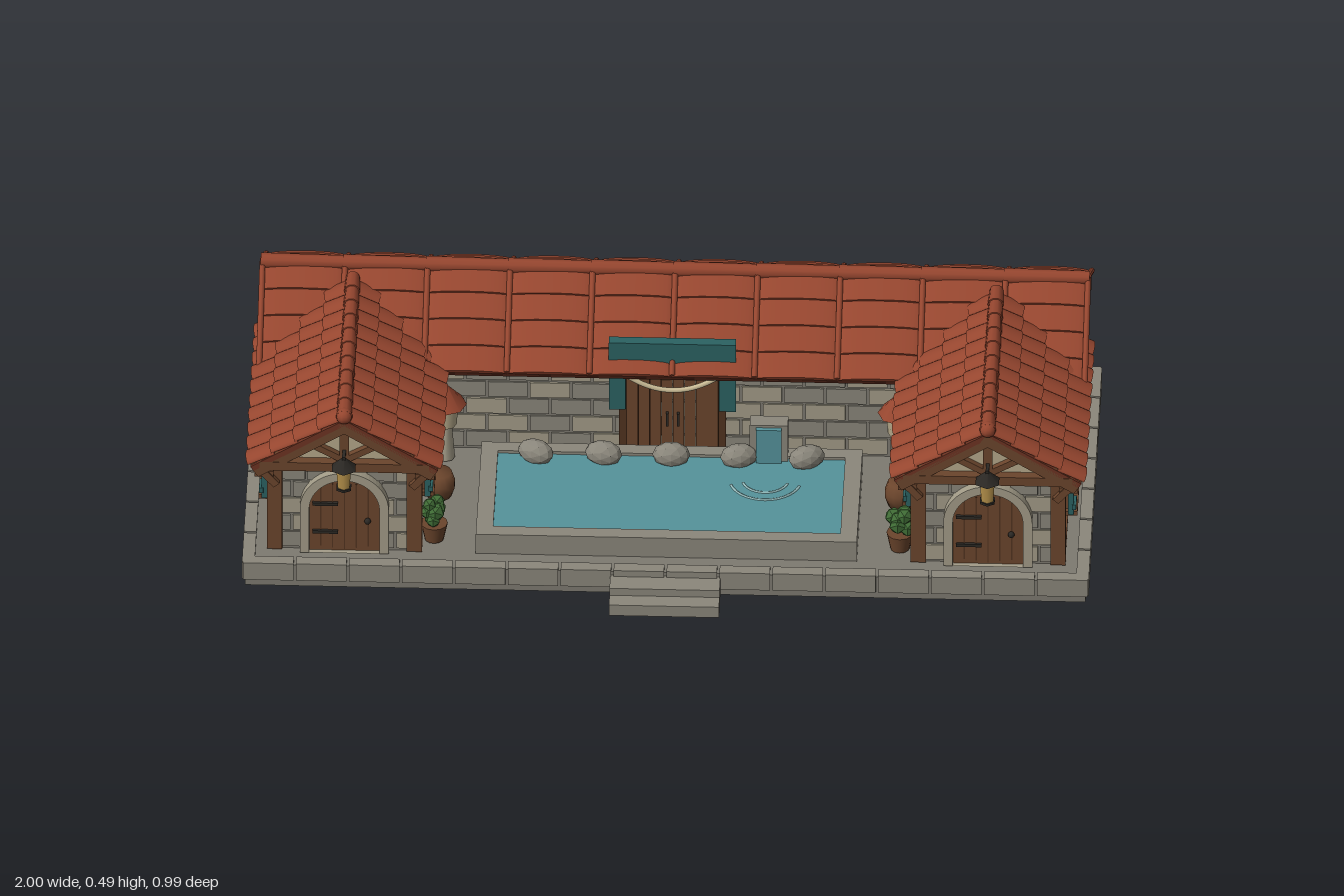
import * as THREE from 'three';

const mat = (color, flat = false) => new THREE.MeshStandardMaterial({ color, flatShading: flat });
const M = {
  stone: mat(0x7d7a70), block: mat(0x8b877b), pale: mat(0xa39c88), plaster: mat(0xb5a98a),
  wood: mat(0x6b452c), dark: mat(0x51331f), iron: mat(0x2b2824), teal: mat(0x2b6262),
  glass: mat(0xb9944c), water: mat(0x55939b), foam: mat(0x9cc4c4), tile: mat(0x96462f),
  under: mat(0x6e3322), rope: mat(0xcbbd97), leaf: mat(0x3f6b35, true), rock: mat(0x8a867b, true),
};
let seed = 7;
const rnd = () => (seed = (seed * 16807) % 2147483647) / 2147483647;

function add(parent, name, geo, m, x = 0, y = 0, z = 0) {
  const mesh = new THREE.Mesh(geo, m);
  mesh.name = name;
  mesh.position.set(x, y, z);
  parent.add(mesh);
  return mesh;
}
const box = (p, name, m, w, h, d, x, y, z) => add(p, name, new THREE.BoxGeometry(w, h, d), m, x, y, z);
const cyl = (p, name, m, r1, r2, h, x, y, z, n = 12) => add(p, name, new THREE.CylinderGeometry(r1, r2, h, n), m, x, y, z);

function group(parent, name, x = 0, y = 0, z = 0, ry = 0) {
  const g = new THREE.Group();
  g.name = name;
  g.position.set(x, y, z);
  g.rotation.y = ry;
  parent.add(g);
  return g;
}
// Square timber lying in the local xy plane between two points
function beam(p, name, x1, y1, x2, y2, z, t = 0.022, d = 0.022) {
  const b = box(p, name, M.wood, Math.hypot(x2 - x1, y2 - y1), t, d, (x1 + x2) / 2, (y1 + y2) / 2, z);
  b.rotation.z = Math.atan2(y2 - y1, x2 - x1);
}
// Running-bond stone facing, looking along local +z
function stones(p, w, h, rows = 5, len = 0.1) {
  const rh = h / rows;
  for (let r = 0; r < rows; r++) {
    for (let x = -w / 2 - (r % 2) * len / 2; x < w / 2 - 0.005; x += len) {
      const a = Math.max(x, -w / 2), b = Math.min(x + len, w / 2);
      box(p, 'wallStone', rnd() > 0.6 ? M.pale : M.block, b - a - 0.006, rh - 0.006, 0.006 + rnd() * 0.004,
        (a + b) / 2, (r + 0.5) * rh, 0);
    }
  }
}
// Lit window with bars, sill and plank shutters; sl and sr are the shutter widths
function windowUnit(p, x, y, z, ry, w, h, sl, sr) {
  const g = group(p, 'window', x, y, z, ry);
  box(g, 'pane', M.glass, w, h, 0.016, 0, 0, 0.006);
  for (const s of [-1, 1]) {
    box(g, 'frameSide', M.wood, 0.008, h, 0.024, s * w / 2, 0, 0.008);
    box(g, 'frameRail', M.wood, w, 0.008, 0.024, 0, s * h / 2, 0.008);
    box(g, 'bar', M.wood, 0.005, h, 0.02, s * w / 6, 0, 0.008);
    const sw = s < 0 ? sl : sr, cx = s * (w / 2 + sw / 2 + 0.004);
    if (!sw) continue;
    for (let i = 0; i < 3; i++)
      box(g, 'shutterPlank', M.teal, sw / 3 - 0.002, h - 0.005 + (i % 2) * 0.01, 0.014, cx + (i - 1) * sw / 3, 0.004, 0.02);
    for (const k of [-1, 1]) box(g, 'shutterBatten', M.teal, sw + 0.004, 0.014, 0.01, cx, k * h * 0.32, 0.028);
  }
  box(g, 'crossBar', M.wood, w, 0.005, 0.02, 0, 0.005, 0.008);
  box(g, 'sill', M.wood, w + 0.03, 0.012, 0.04, 0, -h / 2 - 0.006, 0.015);
}
// Gabled tiled roof, ridge along local x at the origin
function roof(p, name, x, y, z, ry, L, run, rise, cols, courses, bulge, ribs) {
  const g = group(p, name, x, y, z, ry);
  const len = Math.hypot(run, rise), a = Math.atan2(rise, run), cw = L / cols, cl = len / courses;
  const tile = new THREE.CylinderGeometry(1, 1, 1, 10, 1, false, Math.PI / 2, Math.PI).rotateX(Math.PI / 2);
  for (const side of [0, Math.PI]) {
    const pitch = group(group(g, 'roofSide', 0, 0, 0, side), 'slope');
    pitch.rotation.x = a;
    box(pitch, 'roofBoard', M.under, L, 0.014, len, 0, -0.008, len / 2);
    for (let c = 0; c < cols; c++) for (let r = 0; r < courses; r++) {
      const t = add(pitch, 'roofTile', tile, M.tile, -L / 2 + (c + 0.5) * cw, 0.003, (r + 0.5) * cl);
      t.scale.set(cw / 2, bulge, cl * 1.08);
      t.rotation.x = -0.1;
    }
    for (let c = 0; ribs && c <= cols; c++)
      cyl(pitch, 'roofRib', M.tile, 0.007, 0.007, len, -L / 2 + c * cw, 0.01, len / 2, 8).rotation.x = Math.PI / 2;
    box(pitch, 'eaveBoard', M.wood, L, 0.022, 0.012, 0, -0.016, len - 0.012);
    for (const e of [-1, 1]) box(pitch, 'bargeBoard', M.wood, 0.016, 0.026, len, e * (L / 2 - 0.008), -0.022, len / 2);
  }
  for (let c = 0; c < cols; c++) {
    const t = cyl(g, 'ridgeTile', M.tile, 0.019, 0.016, cw * 1.04, -L / 2 + (c + 0.5) * cw, 0.008, 0, 10);
    t.rotation.z = Math.PI / 2;
  }
}
// Plastered gable with an exposed truss, facing local +z; the origin is the middle of the tie beam
function gable(p, x, y, z, ry, half, rise) {
  const g = group(p, 'gable', x, y, z, ry);
  const s = new THREE.Shape([[-half, 0], [half, 0], [0, rise]].map(q => new THREE.Vector2(...q)));
  add(g, 'gablePanel', new THREE.ExtrudeGeometry(s, { depth: 0.02, bevelEnabled: false }), M.plaster, 0, 0, -0.02);
  beam(g, 'tieBeam', -half - 0.01, 0, half + 0.01, 0, 0.008, 0.024, 0.03);
  beam(g, 'kingPost', 0, 0, 0, rise, 0.006);
  for (const k of [-1, 1]) {
    beam(g, 'rafter', k * half, 0.005, 0, rise, 0.008);
    beam(g, 'strut', 0, 0.015, k * half * 0.45, rise * 0.53, 0.005, 0.016);
    beam(g, 'eaveBrace', k * (half - 0.03), -0.06, k * (half + 0.03), 0.01, 0.005, 0.018);
  }
}
const arch = (r, h) => {
  const s = new THREE.Shape();
  s.moveTo(-r, 0); s.lineTo(r, 0); s.lineTo(r, h);
  s.absarc(0, h, r, 0, Math.PI, false);
  s.lineTo(-r, 0);
  return s;
};
function archDoor(p, x, z) {
  const g = group(p, 'archedDoor', x, 0.065, z);
  const ring = arch(0.105, 0.125);
  ring.holes.push(arch(0.083, 0.125));
  add(g, 'stoneArch', new THREE.ExtrudeGeometry(ring, { depth: 0.025, bevelEnabled: false, curveSegments: 16 }), M.pale);
  add(g, 'doorLeaf', new THREE.ExtrudeGeometry(arch(0.083, 0.125), { depth: 0.012, bevelEnabled: false, curveSegments: 16 }), M.wood);
  for (let i = -2; i <= 2; i++) box(g, 'doorSeam', M.dark, 0.003, 0.19 - Math.abs(i) * 0.008, 0.003, i * 0.028, 0.1, 0.013);
  for (const y of [0.055, 0.135]) box(g, 'hinge', M.iron, 0.06, 0.008, 0.008, -0.045, y, 0.015);
  add(g, 'doorKnob', new THREE.SphereGeometry(0.008, 8, 6), M.iron, 0.055, 0.09, 0.02);
}
function lantern(p, x, y, z) {
  const g = group(p, 'lantern', x, y, z);
  cyl(g, 'lanternGlass', M.glass, 0.02, 0.016, 0.055, 0, 0, 0, 6);
  cyl(g, 'lanternHood', M.iron, 0.004, 0.032, 0.028, 0, 0.04, 0, 6);
  cyl(g, 'lanternFoot', M.iron, 0.02, 0.02, 0.006, 0, -0.03, 0, 6);
  box(g, 'lanternBracket', M.iron, 0.008, 0.008, 0.05, 0, 0.055, -0.02);
}
function pottedPlant(p, x, z) {
  const g = group(p, 'pottedPlant', x, 0.065, z);
  cyl(g, 'pot', M.wood, 0.032, 0.023, 0.045, 0, 0.0225, 0);
  for (let i = 0; i < 9; i++)
    add(g, 'leaves', new THREE.IcosahedronGeometry(0.014 + rnd() * 0.01, 0), M.leaf,
      (rnd() - 0.5) * 0.045, 0.055 + rnd() * 0.07, (rnd() - 0.5) * 0.045);
}

export function createModel() {
  const root = new THREE.Group();
  root.name = 'bathhouse';

  // Stone platform with edging and steps
  const base = group(root, 'platform');
  box(base, 'platformSlab', M.stone, 1.985, 0.06, 0.865, 0, 0.03, -0.0375);
  for (let i = 0; i < 16; i++) for (const z of [0.386, -0.461])
    box(base, 'edgeBlock', M.block, 0.119, 0.048, 0.03, -0.9375 + i * 0.125, 0.043, z);
  for (let i = 0; i < 7; i++) for (const s of [-1, 1])
    box(base, 'edgeBlock', M.block, 0.03, 0.048, 0.119, s * 0.985, 0.043, 0.337 - i * 0.125);
  box(base, 'lowerStep', M.block, 0.26, 0.03, 0.1, 0, 0.015, 0.44);
  box(base, 'upperStep', M.block, 0.26, 0.05, 0.06, 0, 0.025, 0.42);

  // Main hall
  const hall = group(root, 'mainHall');
  box(hall, 'hallWalls', M.stone, 1.86, 0.26, 0.34, 0, 0.19, -0.27);
  stones(group(hall, 'frontFacing', 0, 0.065, -0.1), 1.18, 0.24);
  stones(group(hall, 'backFacing', 0, 0.065, -0.44, Math.PI), 1.84, 0.24);
  for (let i = -2; i <= 2; i++) windowUnit(hall, i * 0.355, 0.215, -0.442, Math.PI, 0.135, 0.155, 0.05, 0.05);
  box(hall, 'backPlate', M.wood, 1.92, 0.024, 0.03, 0, 0.308, -0.45);
  box(hall, 'frontPlate', M.wood, 1.2, 0.024, 0.03, 0, 0.305, -0.09);
  for (let x = -0.5; x < 0.51; x += 0.125) box(hall, 'rafterTail', M.wood, 0.016, 0.016, 0.04, x, 0.318, -0.075);
  for (let x = -0.9; x < 0.91; x += 0.15) box(hall, 'rafterTail', M.wood, 0.016, 0.016, 0.04, x, 0.325, -0.46);
  roof(hall, 'mainRoof', 0, 0.468, -0.26, 0, 1.95, 0.228, 0.145, 10, 4, 0.012, true);

  // Entrance with plank door, sign board, hangings and rope
  const entry = group(root, 'entrance', 0, 0, -0.09);
  for (let i = 0; i < 8; i++) box(entry, 'doorPlank', M.wood, 0.026, 0.215, 0.014, -0.0945 + i * 0.027, 0.172, 0);
  for (const s of [-1, 1]) {
    box(entry, 'doorPost', M.dark, 0.018, 0.25, 0.03, s * 0.117, 0.19, 0);
    box(entry, 'handle', M.iron, 0.006, 0.035, 0.014, s * 0.013, 0.17, 0.01);
    box(entry, 'hanging', M.teal, 0.04, 0.13, 0.008, s * 0.13, 0.275, 0.03);
    box(entry, 'signStrut', M.wood, 0.012, 0.05, 0.03, s * 0.1, 0.36, 0.01);
  }
  box(entry, 'signBoard', M.teal, 0.3, 0.065, 0.026, 0, 0.37, 0.022);
  box(entry, 'valance', M.teal, 0.24, 0.03, 0.008, 0, 0.325, 0.03);
  const sag = new THREE.QuadraticBezierCurve3(new THREE.Vector3(-0.11, 0.315, 0.04),
    new THREE.Vector3(0, 0.235, 0.045), new THREE.Vector3(0.11, 0.315, 0.04));
  add(entry, 'rope', new THREE.TubeGeometry(sag, 20, 0.006, 6), M.rope);

  // Two mirrored wings
  for (const s of [-1, 1]) {
    const wing = group(root, s > 0 ? 'leftWing' : 'rightWing');
    const q = s * Math.PI / 2;
    box(wing, 'wingWalls', M.stone, 0.34, 0.25, 0.43, s * 0.76, 0.185, 0.11);
    stones(group(wing, 'outerFacing', s * 0.93, 0.065, -0.06, q), 0.74, 0.24);
    stones(group(wing, 'innerFacing', s * 0.59, 0.065, 0.11, -q), 0.42, 0.24);
    stones(group(wing, 'doorFacing', s * 0.76, 0.065, 0.325), 0.32, 0.24, 5, 0.07);
    for (const [x, z] of [[0.925, 0.32], [0.595, 0.32], [0.925, -0.435], [0.595, -0.085]])
      box(wing, 'cornerPost', M.wood, 0.036, 0.25, 0.036, s * x, 0.19, z);
    box(wing, 'sidePost', M.wood, 0.02, 0.24, 0.03, s * 0.933, 0.185, -0.22);
    box(wing, 'sillRail', M.wood, 0.02, 0.012, 0.76, s * 0.932, 0.071, -0.06);
    box(wing, 'outerPlate', M.wood, 0.03, 0.024, 0.8, s * 0.945, 0.305, -0.06);
    box(wing, 'innerPlate', M.wood, 0.03, 0.024, 0.42, s * 0.58, 0.305, 0.13);
    for (let i = 0; i < 6; i++) for (const x of [0.95, 0.57])
      box(wing, 'rafterTail', M.wood, 0.045, 0.016, 0.014, s * x, 0.287, 0.34 - i * 0.08);
    for (const [z, w, front, back] of [[0.15, 0.115, 0.035, 0.035], [-0.065, 0.125, 0.035, 0.035], [-0.262, 0.14, 0, 0.068]])
      windowUnit(wing, s * 0.932, 0.222, z, q, w, 0.165, s > 0 ? front : back, s > 0 ? back : front);
    windowUnit(wing, s * 0.588, 0.222, 0.12, -q, 0.125, 0.165, 0.04, 0.04);
    roof(wing, 'wingRoof', s * 0.76, 0.455, 0.07, Math.PI / 2, 0.575, 0.222, 0.14, 10, 4, 0.014, false);
    add(wing, 'ridgeFinial', new THREE.SphereGeometry(0.02, 10, 8), M.tile, s * 0.76, 0.463, 0.352);
    gable(wing, s * 0.76, 0.317, 0.335, 0, 0.19, 0.12);
    gable(wing, s * 0.945, 0.317, -0.26, q, 0.195, 0.13);
    archDoor(wing, s * 0.76, 0.325);
    lantern(wing, s * 0.76, 0.305, 0.378);
    pottedPlant(wing, s * 0.55, 0.28);

    // Courtyard barrel and roofed lamp beside the wing
    const barrel = [[0, 0], [0.03, 0], [0.038, 0.025], [0.038, 0.04], [0.03, 0.065], [0, 0.065]].map(v => new THREE.Vector2(...v));
    add(wing, 'barrel', new THREE.LatheGeometry(barrel, 14), M.wood, s * 0.545, 0.065, 0.1);
    const lamp = group(wing, 'gardenLamp', s * 0.535, 0.065, -0.055);
    cyl(lamp, 'lampPost', M.pale, 0.014, 0.022, 0.1, 0, 0.05, 0, 8);
    cyl(lamp, 'lampBody', M.plaster, 0.03, 0.026, 0.06, 0, 0.125, 0, 8);
    cyl(lamp, 'lampRoof', M.tile, 0.006, 0.05, 0.05, 0, 0.178, 0, 8);
  }

  // Bathing pool with kerb, water, ripples, spout and boulders
  const pool = group(root, 'pool', 0, 0, 0.145);
  const kerb = (w, d) => new THREE.Shape([[-w, -d], [w, -d], [w, d], [-w, d]].map(v => new THREE.Vector2(...v)));
  const rim = kerb(0.45, 0.19);
  rim.holes.push(kerb(0.41, 0.155));
  const rimGeo = new THREE.ExtrudeGeometry(rim, { depth: 0.055, bevelEnabled: false }).rotateX(-Math.PI / 2);
  add(pool, 'poolKerb', rimGeo, M.block, 0, 0.062, 0);
  box(pool, 'poolWater', M.water, 0.82, 0.045, 0.31, 0, 0.087, 0);
  for (const r of [0.055, 0.085]) {
    const ripple = add(pool, 'ripple', new THREE.TorusGeometry(r, 0.003, 5, 24, Math.PI * 0.8), M.foam, 0.225, 0.11, -0.07);
    ripple.rotation.set(Math.PI / 2, 0, Math.PI * 0.1);
  }
  for (let i = -2; i <= 2; i++) {
    const b = add(pool, 'boulder', new THREE.IcosahedronGeometry(0.045, 1), M.rock, i * 0.16, 0.128, -0.138);
    b.scale.set(1, 0.7, 0.65);
    b.rotation.y = i * 0.2;
  }
  box(pool, 'spoutBlock', M.block, 0.09, 0.15, 0.04, 0.23, 0.137, -0.165);
  box(pool, 'waterfall', M.water, 0.06, 0.095, 0.012, 0.23, 0.158, -0.14);
  return root;
}
